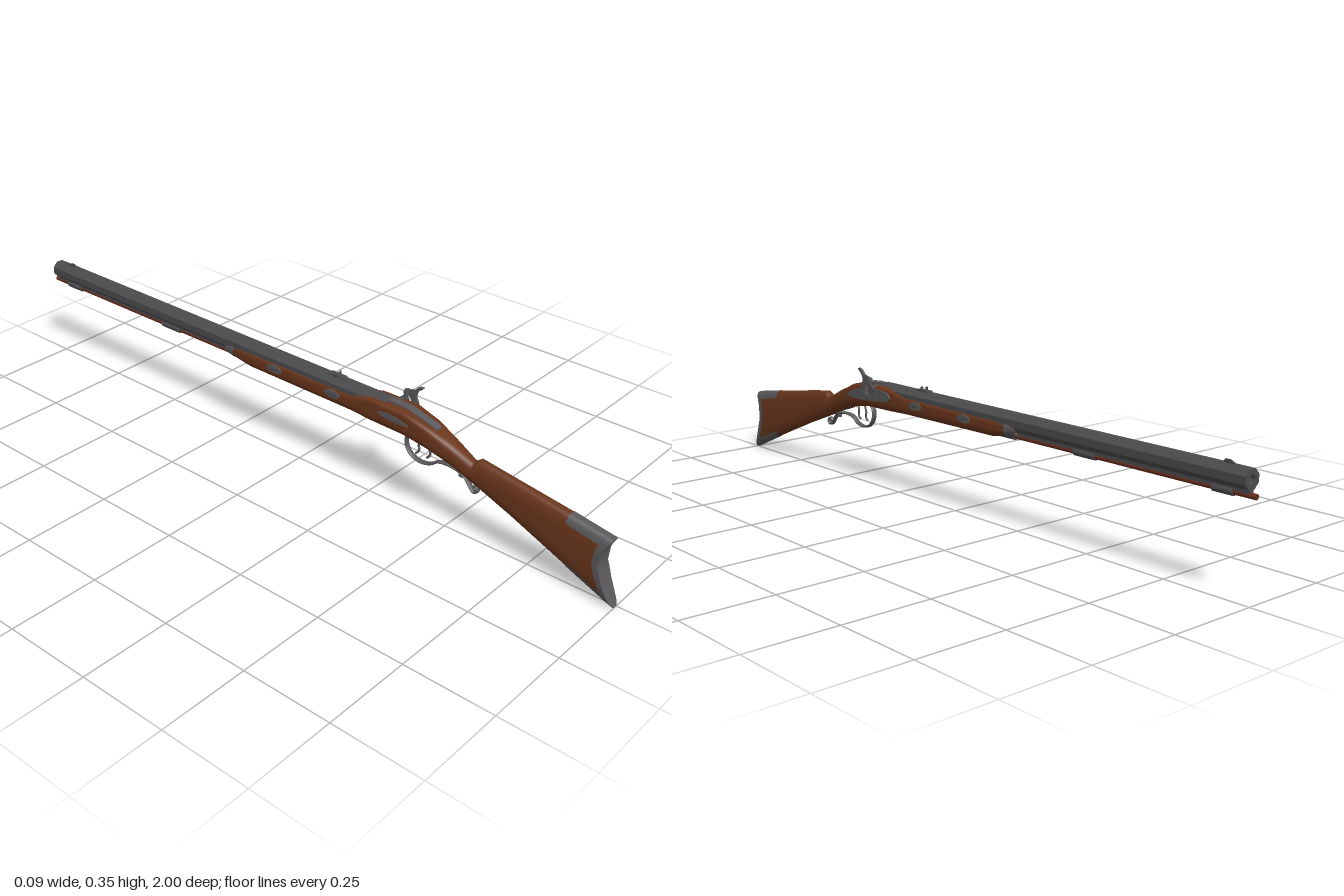
import * as THREE from 'three';

const CX = -0.006; // centre line of stock and barrel
const N = 40;      // points around a stock section

// Stock sections: z, top, bottom, half width, roundness above, roundness below
const SECTIONS = [
  [-0.25, 0.286, 0.256, 0.023, 3, 2.2], [-0.22, 0.288, 0.249, 0.026, 3.5, 2.2],
  [-0.155, 0.29, 0.239, 0.028, 4, 2.4], [0.2, 0.291, 0.237, 0.029, 4, 2.5],
  [0.27, 0.305, 0.236, 0.035, 8, 3], [0.38, 0.306, 0.234, 0.036, 8, 3],
  [0.45, 0.288, 0.222, 0.034, 5, 2.8], [0.52, 0.26, 0.199, 0.027, 3, 2.2],
  [0.58, 0.231, 0.174, 0.021, 2.3, 2.2], [0.6, 0.246, 0.166, 0.02, 2.2, 2.3],
  [0.7, 0.231, 0.128, 0.021, 2.4, 2.6], [0.85, 0.207, 0.066, 0.024, 3, 3],
  [1.0, 0.182, 0.001, 0.024, 3, 3],
];
// Depth of the crescent butt by relative height
const CRESCENT = [[0, 0], [0.1, 0.014], [0.25, 0.03], [0.5, 0.046], [0.75, 0.042], [1, 0.02]];

function lookup(table, v) {
  let i = 0;
  while (i < table.length - 2 && v > table[i + 1][0]) i++;
  const a = table[i], b = table[i + 1];
  const f = THREE.MathUtils.clamp((v - a[0]) / (b[0] - a[0]), 0, 1);
  return a.map((q, k) => q + (b[k] - q) * f);
}

function stockPoint(zr, angle, inflate) {
  const s = Math.sin(angle), c = Math.cos(angle);
  const r = lookup(SECTIONS, zr);
  const p = 2 / (s > 0 ? r[4] : r[5]);
  const sy = Math.sign(s) * Math.abs(s) ** p;
  const k = THREE.MathUtils.clamp((zr - 0.82) / 0.18, 0, 1);
  const z = zr - k * lookup(CRESCENT, (sy + 1) / 2)[1];
  const [, top, bottom, half] = lookup(SECTIONS, z);
  return [
    CX + Math.sign(c) * Math.abs(c) ** p * (half + inflate),
    (top + bottom) / 2 + sy * ((top - bottom) / 2 + inflate), z];
}

// Skin over the stock between two angles, optionally closed at either end
function stockSkin(zs, { a0 = -Math.PI / 2, a1 = Math.PI * 1.5, inflate = 0, front = false, back = false } = {}) {
  const pos = [], idx = [], w = N + 1;
  const ring = z => {
    for (let j = 0; j <= N; j++) pos.push(...stockPoint(z, a0 + (a1 - a0) * j / N, inflate));
  };
  zs.forEach(ring);
  for (let i = 0; i < zs.length - 1; i++) for (let j = 0; j < N; j++) {
    const a = i * w + j;
    idx.push(a, a + 1, a + w, a + 1, a + w + 1, a + w);
  }
  const cap = (z, flip) => {
    const b = pos.length / 3;
    ring(z);
    for (let j = 0; j < N / 2; j++) {
      const q = [b + j, b + j + 1, b + N - j - 1, b + N - j];
      if (flip) q.reverse();
      idx.push(q[0], q[1], q[2], q[0], q[2], q[3]);
    }
  };
  if (front) cap(zs[0], true);
  if (back) cap(zs[zs.length - 1], false);
  const g = new THREE.BufferGeometry();
  g.setAttribute('position', new THREE.Float32BufferAttribute(pos, 3));
  g.setIndex(idx);
  g.computeVertexNormals();
  return g;
}

// Side outline of [z, y] points, extruded across x
function sidePlate(points, width, x, smooth = false) {
  const v = points.map(p => new THREE.Vector2(...p));
  const shape = smooth
    ? new THREE.Shape(new THREE.SplineCurve([...v, v[0]]).getPoints(48).slice(0, -1))
    : new THREE.Shape(v);
  return new THREE.ExtrudeGeometry(shape, { depth: width, bevelEnabled: false })
    .rotateY(-Math.PI / 2).translate(x + width / 2, 0, 0);
}

const range = (a, b, n) => Array.from({ length: n + 1 }, (_, i) => a + (b - a) * i / n);
const box = (w, h, d, x, y, z) => new THREE.BoxGeometry(w, h, d).translate(x, y, z);
const rod = (r, z0, z1, y, x = CX, sides = 20) =>
  new THREE.CylinderGeometry(r, r, Math.abs(z1 - z0), sides).rotateX(Math.PI / 2).translate(x, y, (z0 + z1) / 2);
const pin = (r, len, x, y, z) =>
  new THREE.CylinderGeometry(r, r, len, 20).rotateZ(Math.PI / 2).translate(x, y, z);

export function createModel() {
  const model = new THREE.Group();
  const material = (name, color) => Object.assign(new THREE.MeshStandardMaterial({ color }), { name });
  const wood = material('walnut wood', 0x6a361c);
  const steel = material('steel', 0x5a585a);
  const barrelSteel = material('barrel steel', 0x4c4b4e);
  const rodWood = material('ramrod wood', 0x6b2f1f);
  const add = (name, geometry, mat) => {
    const mesh = new THREE.Mesh(geometry, mat);
    mesh.name = name;
    model.add(mesh);
    return mesh;
  };

  // Stock and its fitted metal
  add('stock', stockSkin([...SECTIONS.map(s => s[0]).slice(0, 9), 0.588, 0.6, 0.65, 0.7, 0.78,
    0.82, 0.86, 0.9, 0.94, 0.99], { front: true, back: true }), wood);
  add('buttPlate', stockSkin([0.978, 0.985, 0.993, 1], { inflate: 0.001, back: true }), steel);
  add('combPlate', stockSkin(range(0.865, 0.985, 8),
    { a0: 0.2 * Math.PI, a1: 0.8 * Math.PI, inflate: 0.0012 }), steel);
  add('toePlate', stockSkin(range(0.87, 0.985, 8),
    { a0: -0.77 * Math.PI, a1: -0.23 * Math.PI, inflate: 0.0012 }), steel);
  add('triggerPlate', stockSkin(range(0.36, 0.57, 8),
    { a0: -0.56 * Math.PI, a1: -0.44 * Math.PI, inflate: 0.0015 }), steel);
  add('noseCap', stockSkin([-0.25, -0.235, -0.215], { inflate: 0.0015, front: true }), steel);

  // Octagonal barrel with an open bore
  const octagon = new THREE.Shape(range(0, 7, 7).map(i => {
    const a = (i + 0.5) * Math.PI / 4;
    return new THREE.Vector2(Math.cos(a) * 0.026, Math.sin(a) * 0.026);
  }));
  octagon.holes.push(new THREE.Path().absarc(0, 0, 0.011, 0, Math.PI * 2, true));
  add('barrel', new THREE.ExtrudeGeometry(octagon, { depth: 1.3, bevelEnabled: false, curveSegments: 16 })
    .translate(CX, 0.289, -0.985), barrelSteel);
  add('boreFloor', rod(0.0115, -0.9, -0.89, 0.289), barrelSteel);
  add('underRib', box(0.014, 0.012, 0.735, CX, 0.262, -0.6175), barrelSteel);
  add('tang', sidePlate([[0.3, 0.3], [0.3, 0.312], [0.38, 0.3085], [0.45, 0.2905], [0.47, 0.2825],
    [0.47, 0.275], [0.44, 0.28]], 0.023, CX), steel);

  // Ramrod and its thimbles
  add('ramrod', rod(0.007, -0.2, -1, 0.252), rodWood);
  for (const [z, len] of [[-0.2, 0.07], [-0.485, 0.07], [-0.91, 0.058]])
    add('ramrodThimble', rod(0.0105, z - len / 2, z + len / 2, 0.252), barrelSteel);

  // Sights
  add('rearSightBase', box(0.018, 0.005, 0.05, CX, 0.3145, 0.14), barrelSteel);
  add('rearSightHorns', new THREE.TorusGeometry(0.009, 0.0035, 10, 24, Math.PI * 1.5)
    .rotateZ(Math.PI * 0.75).translate(CX, 0.32, 0.14), barrelSteel);
  add('frontSight', sidePlate([[-0.945, 0.312], [-0.905, 0.312], [-0.91, 0.322], [-0.925, 0.322]],
    0.004, CX), barrelSteel);

  // Barrel wedges with oval escutcheons on both sides
  for (const z of [0.145, -0.06]) {
    const oval = range(0, 23, 23).map(i => {
      const a = i * Math.PI / 12;
      return [z + Math.cos(a) * 0.026, 0.272 + Math.sin(a) * 0.011];
    });
    for (const side of [-1, 1])
      add('wedgeEscutcheon', sidePlate(oval, 0.004, CX + side * 0.0285), steel);
    add('barrelWedge', box(0.066, 0.007, 0.026, CX, 0.272, z), barrelSteel);
  }

  // Lock on the left side of the model
  add('lockPlate', sidePlate([[0.25, 0.28], [0.265, 0.293], [0.31, 0.297], [0.38, 0.293], [0.43, 0.276],
    [0.45, 0.262], [0.42, 0.257], [0.36, 0.258], [0.3, 0.264], [0.262, 0.268]], 0.008, 0.029, true), steel);
  add('sidePlate', sidePlate([[0.3, 0.282], [0.33, 0.289], [0.37, 0.285], [0.4, 0.274], [0.36, 0.272],
    [0.32, 0.275]], 0.004, CX - 0.036, true), steel);
  add('hammer', sidePlate([[0.374, 0.27], [0.374, 0.298], [0.367, 0.317], [0.372, 0.333], [0.388, 0.347],
    [0.384, 0.35], [0.372, 0.346], [0.361, 0.335], [0.348, 0.331], [0.331, 0.326], [0.328, 0.314],
    [0.344, 0.312], [0.352, 0.3], [0.347, 0.272], [0.36, 0.264]], 0.007, 0.0345, true), steel);
  add('hammerHead', new THREE.CylinderGeometry(0.0075, 0.0075, 0.016, 16).translate(0.0345, 0.319, 0.336), steel);
  add('hammerScrew', pin(0.009, 0.012, 0.035, 0.277, 0.361), steel);
  add('bolster', pin(0.011, 0.03, 0.024, 0.297, 0.33), barrelSteel);
  add('nipple', new THREE.CylinderGeometry(0.004, 0.006, 0.016, 14).translate(0.0345, 0.309, 0.332), barrelSteel);
  add('lockScrew', pin(0.005, 0.01, 0.03, 0.277, 0.29), barrelSteel);

  // Trigger guard bow with a scrolled rear spur
  const bow = new THREE.CatmullRomCurve3([[0.385, 0.237], [0.373, 0.222], [0.373, 0.198], [0.39, 0.174],
    [0.42, 0.165], [0.45, 0.171], [0.475, 0.187], [0.52, 0.19], [0.555, 0.178], [0.572, 0.158],
    [0.585, 0.145], [0.596, 0.151], [0.592, 0.163], [0.584, 0.16]].map(([z, y]) => new THREE.Vector3(0, y, z)));
  add('triggerGuard', new THREE.TubeGeometry(bow, 90, 0.0038, 10).scale(2.2, 1, 1).translate(CX, 0, 0), steel);
  add('guardPost', box(0.01, 0.03, 0.012, CX, 0.188, 0.545), steel);

  // Two set triggers
  for (const z of [0.41, 0.445]) {
    const curve = new THREE.CatmullRomCurve3([[0.008, 0.232], [0, 0.21], [0.002, 0.195], [-0.008, 0.183]]
      .map(([dz, y]) => new THREE.Vector3(CX, y, z + dz)));
    add('trigger', new THREE.TubeGeometry(curve, 16, 0.003, 8), steel);
  }
  return model;
}
